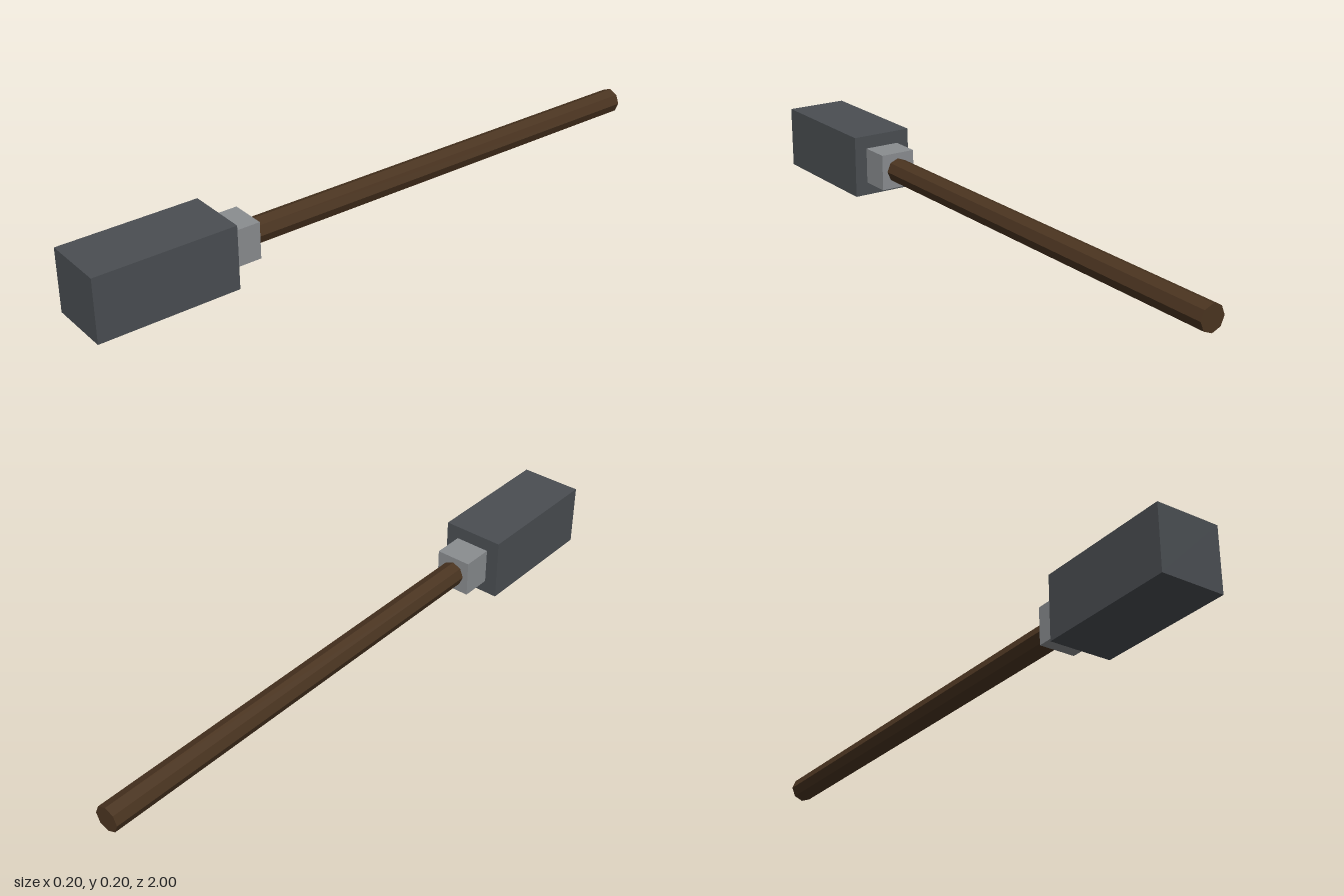
import * as THREE from 'three';

const CENTRE_Y = 0.1;

function addPart(group, name, geometry, color, zBack, zFront) {
  const material = new THREE.MeshStandardMaterial({ color, flatShading: true });
  const mesh = new THREE.Mesh(geometry, material);
  mesh.name = name;
  mesh.position.set(0, CENTRE_Y, (zBack + zFront) / 2);
  group.add(mesh);
}

export function createModel() {
  const group = new THREE.Group();
  group.name = 'mallet';

  // Square block at the front
  addPart(group, 'head', new THREE.BoxGeometry(0.2, 0.2, 0.44), 0x4a4e52, 0.56, 1);

  // Smaller block joining head and handle
  addPart(group, 'collar', new THREE.BoxGeometry(0.116, 0.116, 0.1), 0x8a8d90, 0.46, 0.56);

  // Eight-sided wooden shaft lying along z
  const shaft = new THREE.CylinderGeometry(0.04, 0.04, 1.46, 8).rotateX(Math.PI / 2);
  addPart(group, 'handle', shaft, 0x4a3420, -1, 0.46);

  return group;
}
